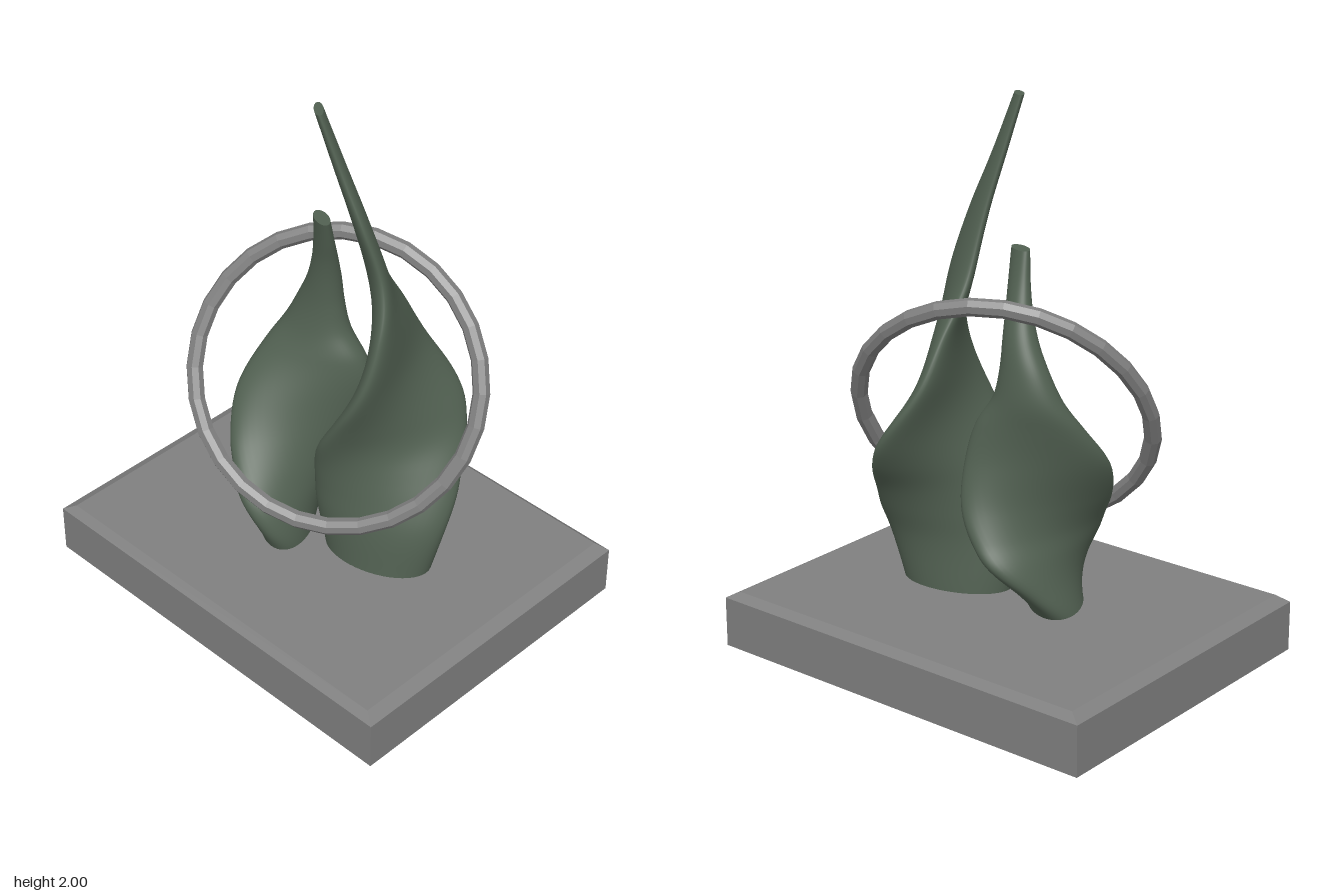
import * as THREE from 'three';

const stone = new THREE.MeshStandardMaterial({ color: 0x7f7f7f });
stone.name = 'grey stone';
const patina = new THREE.MeshStandardMaterial({ color: 0x526152 });
patina.name = 'dark green patina';

function part(name, geometry, material) {
  const mesh = new THREE.Mesh(geometry, material);
  mesh.name = name;
  return mesh;
}

function faceted(geometry) {
  const g = geometry.toNonIndexed();
  g.computeVertexNormals();
  return g;
}

// Twisting elliptical form. Each key: y, centre x, centre z, long radius, short radius, angle in degrees
function twistedForm(keys, rows = 90, sides = 48) {
  const ys = keys.map(k => k[0]);
  const curve = new THREE.CubicInterpolant(ys, keys.flatMap(k => k.slice(1)), 5);
  const y0 = ys[0], y1 = ys[ys.length - 1];
  const pos = [], index = [];
  const ring = y => {
    const [cx, cz, a, b, deg] = Array.from(curve.evaluate(y));
    const t = deg * Math.PI / 180, c = Math.cos(t), s = Math.sin(t);
    for (let j = 0; j < sides; j++) {
      const p = j / sides * Math.PI * 2, u = a * Math.cos(p), v = b * Math.sin(p);
      pos.push(cx + u * c - v * s, y, cz + u * s + v * c);
    }
    return [cx, cz];
  };
  for (let i = 0; i <= rows; i++) ring(y0 + (y1 - y0) * i / rows);
  for (let i = 0; i < rows; i++) {
    for (let j = 0; j < sides; j++) {
      const k = (j + 1) % sides;
      const A = i * sides + j, B = i * sides + k, C = A + sides, D = B + sides;
      index.push(A, C, B, B, C, D);
    }
  }
  // flat end caps on their own vertices
  for (const [y, top] of [[y0, false], [y1, true]]) {
    const start = pos.length / 3;
    const [cx, cz] = ring(y);
    pos.push(cx, y, cz);
    for (let j = 0; j < sides; j++) {
      const A = start + j, B = start + (j + 1) % sides;
      index.push(start + sides, top ? B : A, top ? A : B);
    }
  }
  const g = new THREE.BufferGeometry();
  g.setAttribute('position', new THREE.Float32BufferAttribute(pos, 3));
  g.setIndex(index);
  g.computeVertexNormals();
  return g;
}

// Slab with a shallow chamfer around its top
function plinthGeometry() {
  const g = new THREE.BoxGeometry(1.58, 2, 1.24, 1, 2, 1);
  const p = g.attributes.position;
  for (let i = 0; i < p.count; i++) {
    const y = p.getY(i);
    if (y > 0.5) p.setXYZ(i, Math.sign(p.getX(i)) * 0.745, 0.21, Math.sign(p.getZ(i)) * 0.59);
    else p.setY(i, y < -0.5 ? 0 : 0.185);
  }
  return faceted(g);
}

export function createModel() {
  const model = new THREE.Group();
  model.name = 'abstract sculpture';

  model.add(part('plinth', plinthGeometry(), stone));

  model.add(part('tallForm', twistedForm([
    [0.20, 0.218, -0.01, 0.205, 0.12, 166],
    [0.40, 0.222, -0.02, 0.245, 0.11, 157],
    [0.50, 0.222, -0.04, 0.255, 0.105, 148],
    [0.60, 0.215, -0.06, 0.26, 0.098, 136],
    [0.70, 0.21, -0.085, 0.27, 0.09, 120],
    [0.80, 0.212, -0.1, 0.268, 0.083, 105],
    [1.00, 0.202, -0.085, 0.23, 0.06, 76],
    [1.20, 0.195, -0.068, 0.168, 0.048, 58],
    [1.40, 0.16, -0.043, 0.105, 0.035, 36],
    [1.60, 0.122, 0, 0.08, 0.028, 36],
    [1.80, 0.062, 0.035, 0.055, 0.022, 39],
    [2.00, 0.008, 0.073, 0.043, 0.016, 42],
  ]), patina));

  model.add(part('shortForm', twistedForm([
    [0.20, -0.155, 0.08, 0.19, 0.1, 49],
    [0.30, -0.147, 0.06, 0.235, 0.1, 69],
    [0.42, -0.14, 0.025, 0.285, 0.103, 91],
    [0.50, -0.135, 0.01, 0.285, 0.1, 104],
    [0.60, -0.14, -0.005, 0.28, 0.1, 119],
    [0.75, -0.155, -0.03, 0.25, 0.1, 138],
    [0.90, -0.155, -0.07, 0.187, 0.09, 156],
    [1.00, -0.163, -0.09, 0.127, 0.08, 168],
    [1.10, -0.153, -0.097, 0.093, 0.067, 178],
    [1.20, -0.132, -0.092, 0.068, 0.055, 187],
    [1.30, -0.112, -0.075, 0.054, 0.042, 195],
    [1.40, -0.093, -0.05, 0.05, 0.032, 201],
    [1.50, -0.078, -0.025, 0.05, 0.025, 205],
  ]), patina));

  // tilted hoop encircling both forms
  const hoop = part('hoop', faceted(new THREE.TorusGeometry(0.521, 0.031, 8, 28)), stone);
  hoop.quaternion.setFromUnitVectors(
    new THREE.Vector3(0, 0, 1), new THREE.Vector3(0.379, 0.471, 0.797).normalize());
  hoop.position.set(0.012, 0.88, 0);
  model.add(hoop);

  return model;
}
